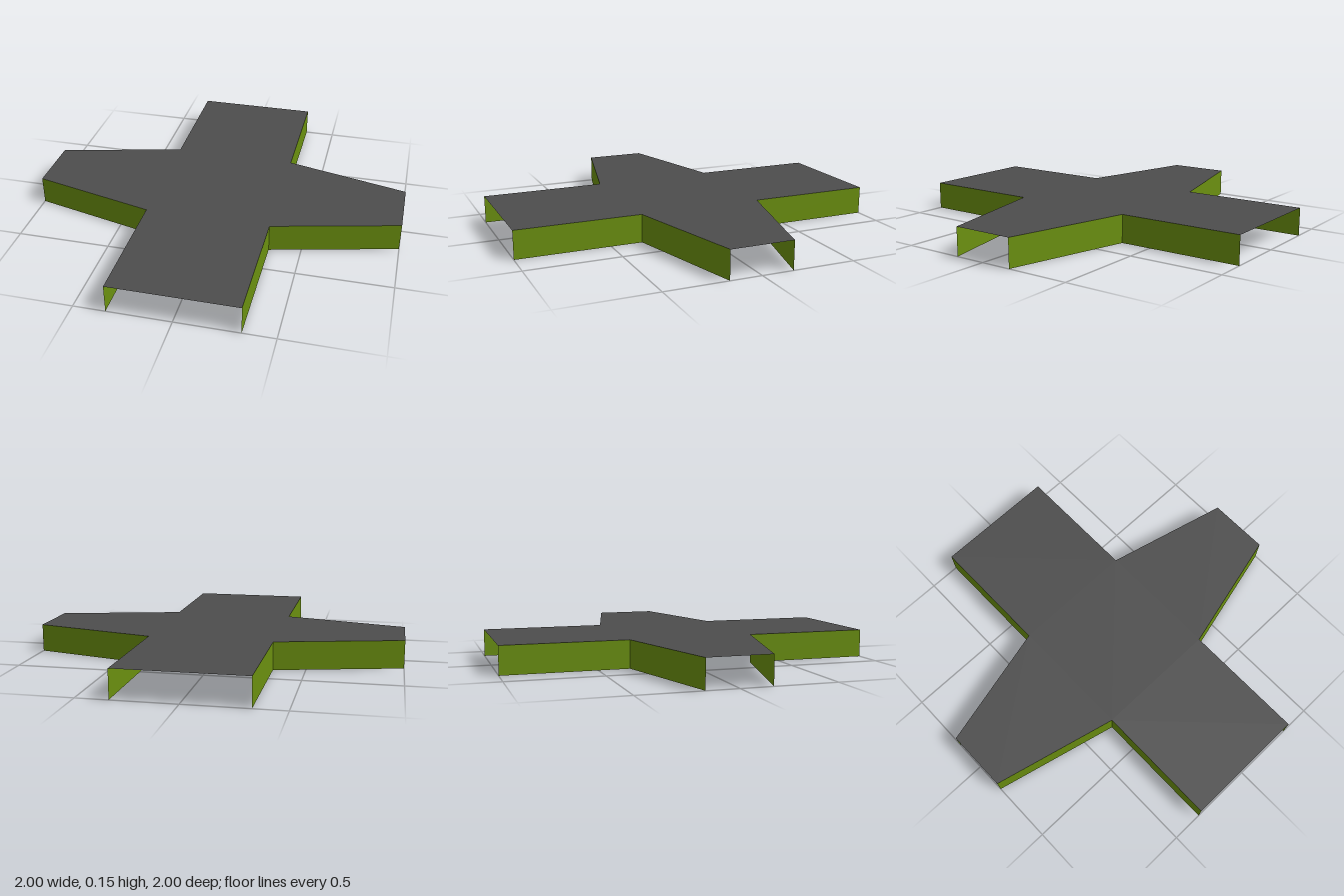
import * as THREE from 'three';

const HEIGHT = 0.15;
// Corner of the crossing: end of the wide road, inner corner, end of the tapered road
const CORNER = [[0.333, 1], [0.333, 0.333], [1, 0.167]];

const mirrored = (sx, sz) => {
  const pts = CORNER.map(([x, z]) => [x * sx, z * sz]);
  return sx * sz < 0 ? pts.reverse() : pts; // keeps the outline turning one way
};

// Open strip of vertical faces hanging below an edge of the deck
function skirtGeometry(pts) {
  const pos = [];
  for (let i = 0; i < pts.length - 1; i++) {
    const [ax, az] = pts[i], [bx, bz] = pts[i + 1];
    pos.push(ax, 0, az, bx, 0, bz, bx, HEIGHT, bz);
    pos.push(ax, 0, az, bx, HEIGHT, bz, ax, HEIGHT, az);
  }
  const geo = new THREE.BufferGeometry();
  geo.setAttribute('position', new THREE.Float32BufferAttribute(pos, 3));
  geo.computeVertexNormals();
  return geo;
}

export function createModel() {
  const asphalt = new THREE.MeshStandardMaterial({ color: 0x4d4d4d, side: THREE.DoubleSide });
  asphalt.name = 'asphalt grey';
  const grass = new THREE.MeshStandardMaterial({ color: 0x6b9010, side: THREE.DoubleSide });
  grass.name = 'grass green';

  const model = new THREE.Group();
  model.name = 'roadCrossing';

  const corners = [[1, 1], [1, -1], [-1, -1], [-1, 1]].map(([sx, sz]) => mirrored(sx, sz));

  // Flat cross-shaped road deck
  const outline = new THREE.Shape(corners.flat().map(([x, z]) => new THREE.Vector2(x, -z)));
  const deck = new THREE.Mesh(new THREE.ShapeGeometry(outline).rotateX(-Math.PI / 2), asphalt);
  deck.position.y = HEIGHT;
  deck.name = 'roadDeck';
  model.add(deck);

  // Banks between the roads; the four road ends stay open
  const names = ['frontLeft', 'backLeft', 'backRight', 'frontRight'];
  corners.forEach((pts, i) => {
    const bank = new THREE.Mesh(skirtGeometry(pts), grass);
    bank.name = names[i] + 'Bank';
    model.add(bank);
  });
  return model;
}
